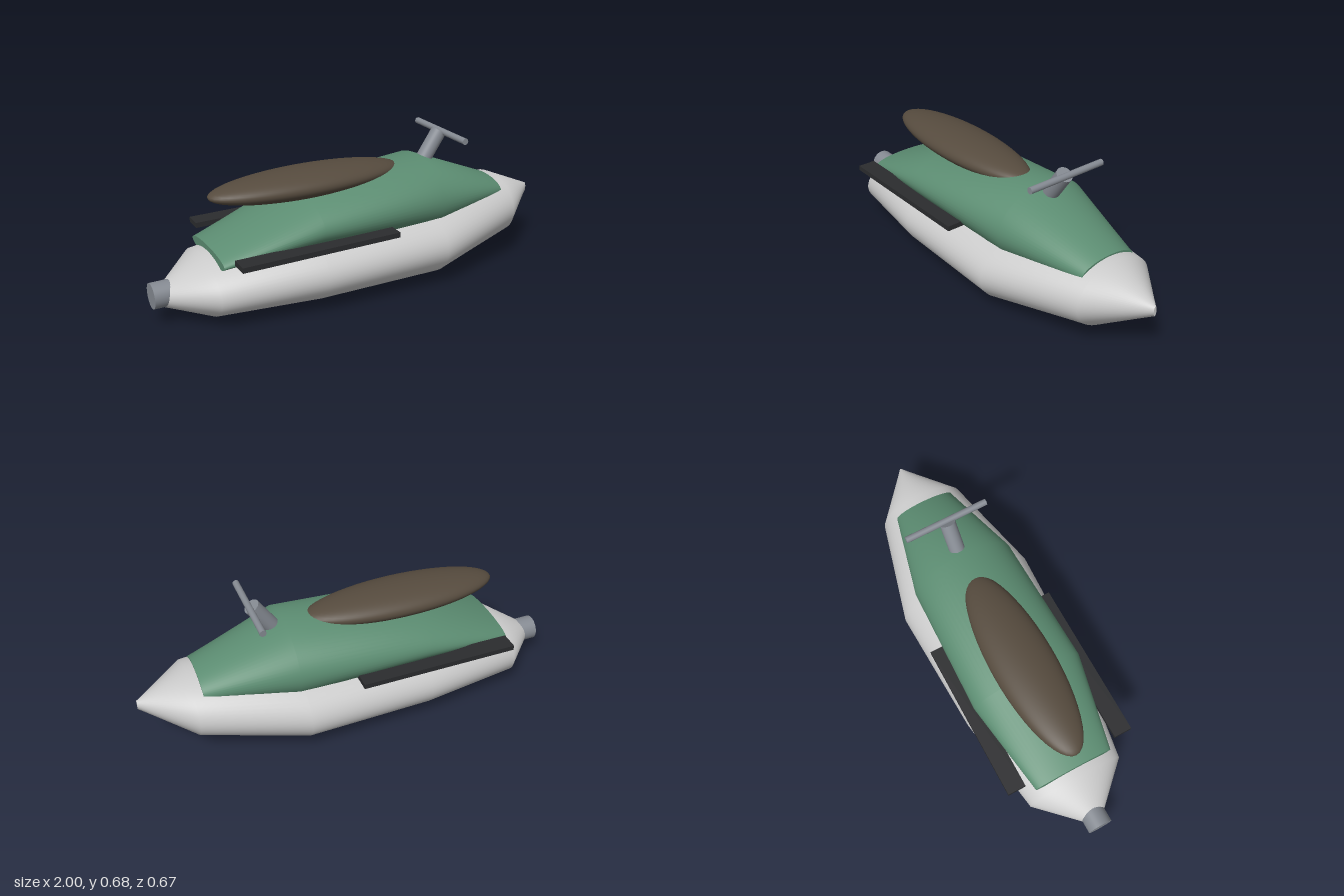
import * as THREE from 'three';

const paint = (color) => new THREE.MeshStandardMaterial({ color });

// Lofts elliptical cross-sections [x, centreY, radiusY, radiusZ] along x, with flat end caps
function loftEllipses(stations, sides = 64) {
  const pos = [];
  const index = [];
  const addRing = ([x, cy, ry, rz]) => {
    const start = pos.length / 3;
    for (let i = 0; i < sides; i++) {
      const a = (i / sides) * Math.PI * 2;
      pos.push(x, cy + ry * Math.cos(a), rz * Math.sin(a));
    }
    return start;
  };
  const rings = stations.map(addRing);
  for (let s = 0; s < rings.length - 1; s++) {
    for (let i = 0; i < sides; i++) {
      const j = (i + 1) % sides;
      const a = rings[s] + i, b = rings[s] + j;
      const c = rings[s + 1] + i, d = rings[s + 1] + j;
      index.push(a, b, c, b, d, c);
    }
  }
  // Caps use their own vertices so their edges stay sharp
  [stations[0], stations[stations.length - 1]].forEach((station, end) => {
    const ring = addRing(station);
    const centre = pos.length / 3;
    pos.push(station[0], station[1], 0);
    for (let i = 0; i < sides; i++) {
      const j = (i + 1) % sides;
      if (end === 0) index.push(centre, ring + j, ring + i);
      else index.push(centre, ring + i, ring + j);
    }
  });
  const geo = new THREE.BufferGeometry();
  geo.setAttribute('position', new THREE.Float32BufferAttribute(pos, 3));
  geo.setIndex(index);
  geo.computeVertexNormals();
  return geo;
}

export function createModel() {
  const model = new THREE.Group();
  model.name = 'jetSki';
  const metal = paint(0x858a92);
  const rubber = paint(0x2b2c2e);

  const add = (name, geometry, material, x = 0, y = 0, z = 0) => {
    const mesh = new THREE.Mesh(geometry, material);
    mesh.name = name;
    mesh.position.set(x, y, z);
    model.add(mesh);
    return mesh;
  };

  // Hull, stern to bow
  add('hull', loftEllipses([
    [-0.97, 0.13, 0.04, 0.025],
    [-0.77, 0.158, 0.133, 0.235],
    [-0.3, 0.175, 0.17, 0.31],
    [0.3, 0.19, 0.187, 0.333],
    [0.77, 0.248, 0.149, 0.207],
    [1.0, 0.275, 0.024, 0.008],
  ]), paint(0xcccccc));

  // Deck cowling sunk into the hull
  add('deck', loftEllipses([
    [-0.735, 0.288, 0.034, 0.192],
    [-0.3, 0.385, 0.115, 0.27],
    [0.32, 0.385, 0.184, 0.25],
    [0.73, 0.35, 0.052, 0.147],
  ]), paint(0x5c8d72));

  // Long oval saddle
  const seat = add('seat', new THREE.SphereGeometry(1, 48, 32), paint(0x564b3e), -0.253, 0.535, 0);
  seat.scale.set(0.468, 0.065, 0.143);

  // Side footrests
  for (const [name, side] of [['leftFootrest', -1], ['rightFootrest', 1]]) {
    add(name, new THREE.BoxGeometry(0.75, 0.024, 0.085), rubber, -0.327, 0.324, side * 0.272);
  }

  // Raked steering column and handlebar
  const column = add('steeringColumn', new THREE.CylinderGeometry(0.037, 0.037, 0.18, 32), metal, 0.4, 0.586, 0);
  column.rotation.z = -0.6;
  const bar = add('handlebar', new THREE.CylinderGeometry(0.015, 0.015, 0.403, 24), metal, 0.462, 0.658, 0);
  bar.rotation.x = Math.PI / 2;

  // Water jet nozzle at the stern
  const nozzle = add('jetNozzle', new THREE.CylinderGeometry(0.058, 0.058, 0.15, 32), metal, -0.925, 0.144, 0);
  nozzle.rotation.z = Math.PI / 2;

  return model;
}
